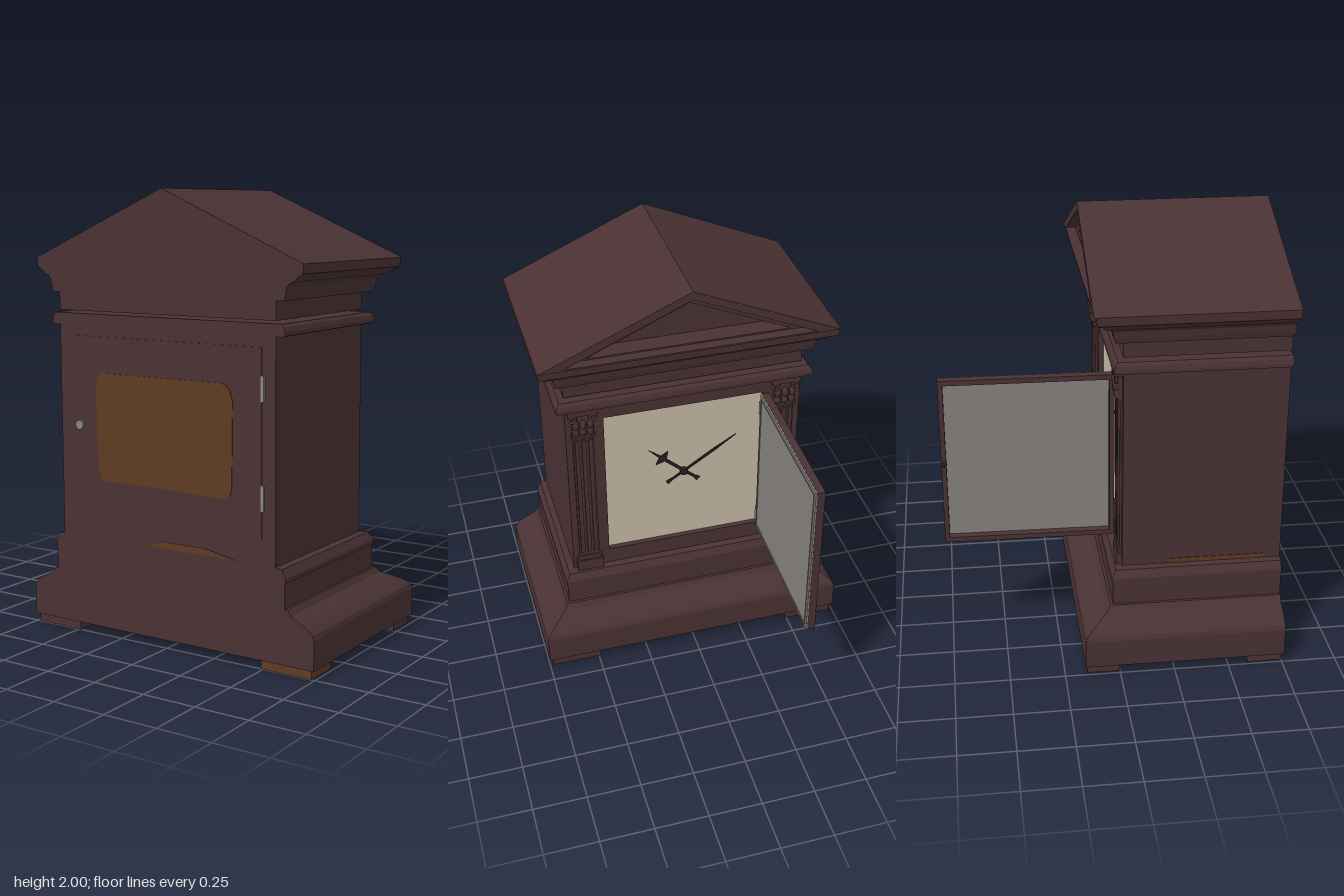
import * as THREE from 'three';

const mat = (name, color, side = THREE.FrontSide) => {
  const m = new THREE.MeshStandardMaterial({ color, side });
  m.name = name;
  return m;
};

export function createModel() {
  const wood = mat('dark wood', 0x4a3234);
  const amber = mat('amber wood', 0x5f3b22);
  const cream = mat('dial cream', 0xc8bca6);
  const glass = mat('grey glass', 0x85817e);
  const metal = mat('metal', 0x8c8880);
  const black = mat('hand black', 0x2a1e1c);
  const root = new THREE.Group();
  const Z = 0.76; // flat rear plane of the case

  const add = (name, geo, m, x = 0, y = 0, z = 0, parent = root) => {
    const mesh = new THREE.Mesh(geo, m);
    mesh.name = name;
    mesh.position.set(x, y, z);
    parent.add(mesh);
    return mesh;
  };
  // Box given by its limits
  const box = (name, m, x0, x1, y0, y1, z0, z1, parent = root) =>
    add(name, new THREE.BoxGeometry(x1 - x0, y1 - y0, z1 - z0), m,
      (x0 + x1) / 2, (y0 + y1) / 2, (z0 + z1) / 2, parent);
  const polygon = (pts) => new THREE.Shape(pts.map(([x, y]) => new THREE.Vector2(x, y)));
  const rect = (x0, x1, y0, y1) => polygon([[x0, y0], [x1, y0], [x1, y1], [x0, y1]]);
  const extrude = (shape, depth, hole) => {
    if (hole) shape.holes.push(hole);
    return new THREE.ExtrudeGeometry(shape, { depth, bevelEnabled: false, curveSegments: 6 });
  };

  // Moulding mitred round three sides: profile of [overhang, y], bottom to top
  const moulding = (name, profile) => {
    const rings = profile.map(([o, y]) => {
      const h = 0.565 + o, f = 0.028 - o;
      return [[-h, y, f], [-h, y, Z], [h, y, Z], [h, y, f]];
    });
    const pos = [];
    const quad = (a, b, c, d) => pos.push(...a, ...b, ...c, ...a, ...c, ...d);
    for (let j = 0; j < rings.length - 1; j++)
      for (let i = 0; i < 4; i++) {
        const k = (i + 1) % 4;
        quad(rings[j][i], rings[j][k], rings[j + 1][k], rings[j + 1][i]);
      }
    quad(...rings[rings.length - 1]);
    quad(...[...rings[0]].reverse());
    const g = new THREE.BufferGeometry();
    g.setAttribute('position', new THREE.Float32BufferAttribute(pos, 3));
    g.computeVertexNormals();
    return add(name, g, wood);
  };

  // Base, plinth and cornices
  moulding('base', [[0.185, 0.04], [0.185, 0.17], [0.178, 0.19], [0.15, 0.215],
    [0.115, 0.235], [0.075, 0.255], [0.058, 0.28]]);
  moulding('plinth', [[0.045, 0.28], [0.045, 0.39], [0.05, 0.39], [0.05, 0.41],
    [0.042, 0.425], [0.03, 0.447], [0.0, 0.452]]);
  moulding('lowerCornice', [[0.025, 1.405], [0.044, 1.41], [0.044, 1.425], [0.038, 1.445], [0.025, 1.458]]);
  moulding('frieze', [[0, 1.47], [0, 1.55]]);
  moulding('upperCornice', [[0.025, 1.55], [0.038, 1.55], [0.045, 1.575], [0.05, 1.605], [0.062, 1.62],
    [0.085, 1.628], [0.1, 1.645], [0.125, 1.66], [0.128, 1.70]]);

  // Feet
  for (const s of [-1, 1])
    for (const [z0, z1, m] of [[0.59, 0.75, s > 0 ? amber : wood], [-0.15, 0, wood]])
      box('foot', m, s > 0 ? 0.49 : -0.735, s > 0 ? 0.735 : -0.49, 0, 0.04, z0, z1);

  // Case with framed dial opening
  box('case', wood, -0.565, 0.565, 0.452, 1.405, 0.065, Z);
  add('dialFrame', extrude(rect(-0.565, 0.565, 0.452, 1.405), 0.035,
    rect(-0.385, 0.385, 0.535, 1.325)), wood, 0, 0, 0.03);
  box('dial', cream, -0.385, 0.385, 0.535, 1.325, 0.055, 0.063);

  // Gabled roof: solid rear, stepped raking frames round a sunken tympanum
  const gable = (w, y0, y1) => polygon([[-w, y0], [w, y0], [0, y1]]);
  add('roof', extrude(gable(0.693, 1.70, 2), Z - 0.03), wood, 0, 0, 0.03);
  add('rakingEdge', extrude(gable(0.693, 1.70, 2), 0.05, gable(0.58, 1.708, 1.96)), wood, 0, 0, -0.11);
  add('rakingMoulding', extrude(gable(0.693, 1.70, 2), 0.09, gable(0.47, 1.715, 1.92)), wood, 0, 0, -0.06);

  // Fluted pilasters with carved capitals
  for (const s of [-1, 1]) {
    const p = new THREE.Group();
    p.name = 'pilaster';
    p.position.x = s * 0.485;
    root.add(p);
    box('shaft', wood, -0.05, 0.05, 0.53, 1.26, 0.02, 0.035, p);
    for (let i = -1; i <= 1; i++) box('reed', wood, i * 0.032 - 0.01, i * 0.032 + 0.01, 0.56, 1.23, 0.01, 0.025, p);
    box('pilasterBase', wood, -0.065, 0.065, 0.452, 0.51, 0.005, 0.035, p);
    box('baseFillet', wood, -0.058, 0.058, 0.51, 0.535, 0.012, 0.035, p);
    box('necking', wood, -0.056, 0.056, 1.245, 1.262, 0.008, 0.035, p);
    box('capitalBell', wood, -0.05, 0.05, 1.26, 1.385, 0.01, 0.035, p);
    box('abacus', wood, -0.07, 0.07, 1.38, 1.405, -0.008, 0.035, p);
    for (let row = 0; row < 2; row++)
      for (let i = -1; i <= 1; i++) {
        const leaf = add('leaf', new THREE.SphereGeometry(1, 8, 6), wood, i * 0.035, 1.285 + row * 0.04, 0.008 - row * 0.004, p);
        leaf.scale.set(0.016, 0.026, 0.014);
      }
    for (const t of [-1, 1])
      add('scroll', new THREE.TorusGeometry(0.015, 0.007, 6, 12), wood, t * 0.048, 1.36, 0.002, p);
  }

  // Clock hands, pointing away from the dial centre
  const hand = (name, dx, dy, z, w, cross) => {
    const L = Math.hypot(dx, dy);
    const g = new THREE.Group();
    g.name = name;
    g.position.set(0, 0.93, z);
    g.rotation.z = Math.atan2(dy, dx);
    root.add(g);
    add('blade', extrude(polygon([[-0.1, -w], [-0.07, -w * 0.5], [L * 0.6, -w * 0.6], [L, 0],
      [L * 0.6, w * 0.6], [-0.07, w * 0.5], [-0.1, w]]), 0.005), black, 0, 0, 0, g);
    if (cross) add('crossPiece', extrude(polygon([[L * 0.5, 0], [L * 0.62, -0.045], [L * 0.68, 0],
      [L * 0.62, 0.045]]), 0.006), black, 0, 0, 0, g);
  };
  hand('minuteHand', -0.26, 0.17, 0.04, 0.011, false);
  hand('hourHand', 0.17, 0.15, 0.047, 0.013, true);
  add('handHub', new THREE.CylinderGeometry(0.018, 0.018, 0.025, 12).rotateX(Math.PI / 2), black, 0, 0.93, 0.043);

  // Open glazed door
  const door = new THREE.Group();
  door.name = 'glazedDoor';
  door.position.set(-0.386, 0, 0.012);
  door.rotation.y = Math.PI / 2 - 0.014;
  root.add(door);
  add('doorFrame', extrude(rect(0, 0.775, 0.53, 1.328), 0.036, rect(0.022, 0.753, 0.553, 1.305)), wood, 0, 0, -0.022, door);
  box('doorGlass', glass, 0.001, 0.774, 0.531, 1.327, 0.014, 0.021, door);
  add('glassBead', extrude(rect(0.018, 0.757, 0.549, 1.309), 0.004,
    rect(0.023, 0.752, 0.554, 1.304)), glass, 0, 0, 0.02, door);
  add('doorKnob', new THREE.SphereGeometry(0.013, 10, 8), black, 0.762, 0.93, -0.03, door);
  for (const y of [0.62, 1.25])
    add('doorHinge', new THREE.CylinderGeometry(0.008, 0.008, 0.07, 8), metal, 0, y, 0.018, door);

  // Rear access panel with worn amber patches
  box('rearPanel', wood, -0.5, 0.5, 0.565, 1.36, Z, Z + 0.004);
  const patch = new THREE.Shape();
  patch.moveTo(-0.32, 0.718);
  patch.quadraticCurveTo(0, 0.722, 0.32, 0.712);
  patch.quadraticCurveTo(0.36, 0.72, 0.355, 0.80);
  patch.lineTo(0.36, 1.12);
  patch.quadraticCurveTo(0.35, 1.2, 0.30, 1.2);
  patch.lineTo(-0.32, 1.2);
  patch.quadraticCurveTo(-0.36, 1.2, -0.36, 1.12);
  patch.lineTo(-0.355, 0.80);
  patch.quadraticCurveTo(-0.35, 0.72, -0.32, 0.718);
  add('rearPatch', extrude(patch, 0.003), amber, 0, 0, Z + 0.004);
  add('lowerPatch', extrude(polygon([[-0.11, 0.453], [0.37, 0.453], [0.22, 0.483], [0.0, 0.483]]), 0.003), amber, 0, 0, Z);
  box('sidePatch', amber, -0.568, -0.564, 0.453, 0.475, 0.25, 0.68);

  // Rear knob and hinges
  add('rearKnob', new THREE.CylinderGeometry(0.022, 0.022, 0.012, 8).rotateX(Math.PI / 2), metal, -0.455, 0.96, Z + 0.008);
  for (const y of [0.735, 1.19])
    box('rearHinge', metal, 0.497, 0.513, y - 0.055, y + 0.055, Z, Z + 0.008);

  return root;
}
